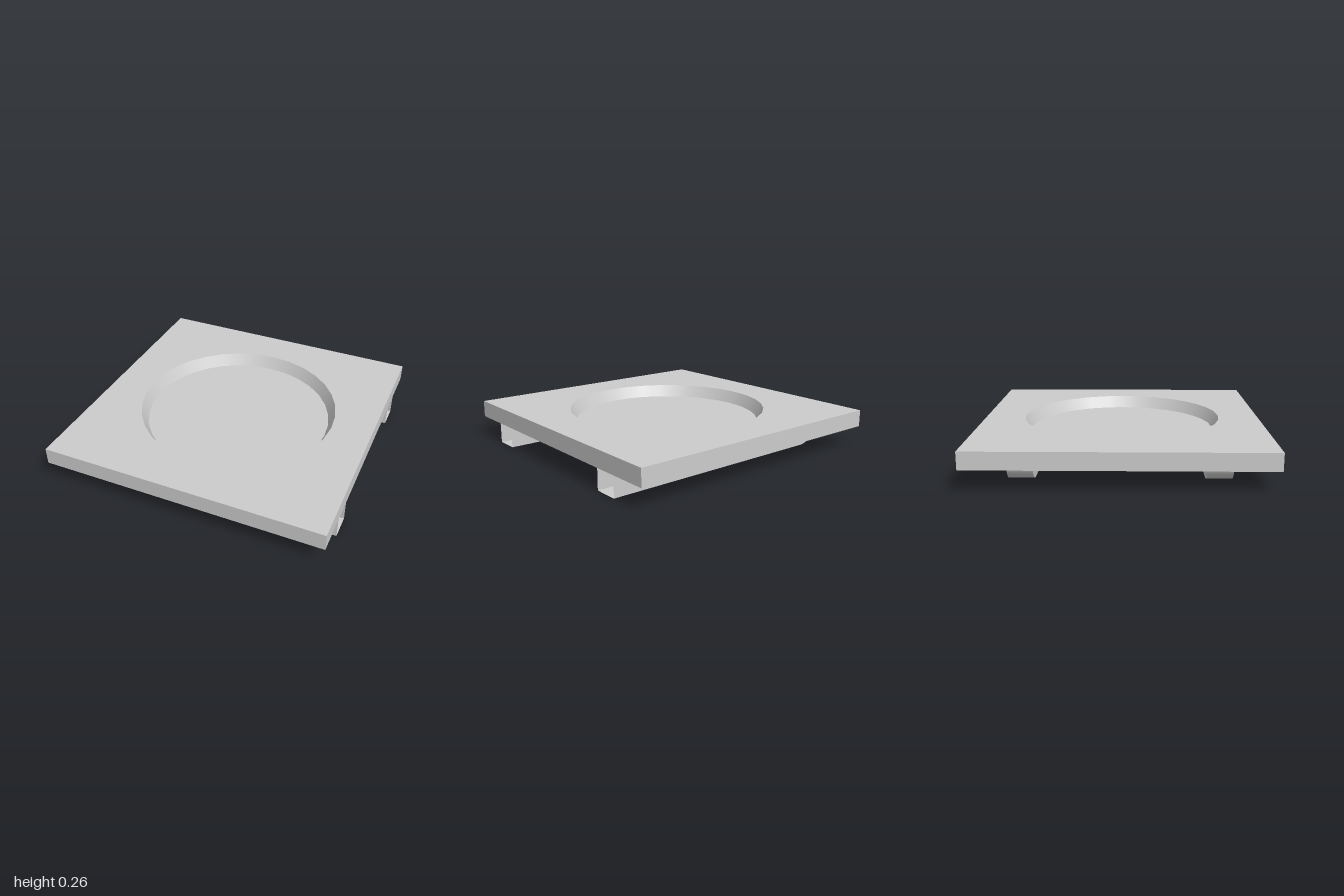
import * as THREE from 'three';

const TOP = 0.265, UNDER = 0.145, FLOOR = 0.178;
const RIM_R = 0.715, FLOOR_R = 0.67, SIDES = 32;
const solid = new THREE.MeshStandardMaterial({ color: 0xcccccc });
const faceted = new THREE.MeshStandardMaterial({ color: 0xcccccc, flatShading: true });
const sheet = new THREE.MeshStandardMaterial({ color: 0xcccccc, side: THREE.DoubleSide });

function add(parent, name, geometry, material, x = 0, y = 0, z = 0) {
  const mesh = new THREE.Mesh(geometry, material);
  mesh.name = name;
  mesh.position.set(x, y, z);
  parent.add(mesh);
  return mesh;
}

// Square plate with a shallow, tapered round recess
function createPlate() {
  const plate = new THREE.Group();
  plate.name = 'plate';

  const square = new THREE.Shape().moveTo(-1, -1).lineTo(1, -1).lineTo(1, 1).lineTo(-1, 1).closePath();
  square.holes.push(new THREE.Path().absarc(0, 0, RIM_R, 0, Math.PI * 2, true));
  add(plate, 'plateTop', new THREE.ShapeGeometry(square, SIDES / 2).rotateX(-Math.PI / 2), solid, 0, TOP);

  const edge = new THREE.CylinderGeometry(Math.SQRT2, Math.SQRT2, TOP - UNDER, 4, 1, true, Math.PI / 4);
  add(plate, 'plateEdge', edge, faceted, 0, (TOP + UNDER) / 2);
  add(plate, 'plateUnderside', new THREE.PlaneGeometry(2, 2).rotateX(Math.PI / 2), solid, 0, UNDER);

  const wall = new THREE.CylinderGeometry(RIM_R, FLOOR_R, TOP - FLOOR, SIDES, 1, true);
  add(plate, 'recessWall', wall, sheet, 0, (TOP + FLOOR) / 2);
  add(plate, 'recessFloor', new THREE.CircleGeometry(FLOOR_R, SIDES).rotateX(-Math.PI / 2), solid, 0, FLOOR);
  return plate;
}

// Hollow runner: rounded at -x, open at +x, closed above by the plate
function createRunner(name, z) {
  const runner = new THREE.Group();
  runner.name = name;
  runner.position.z = z;
  const width = 0.17, r = UNDER, bendX = -0.82 + r;

  const profile = new THREE.Shape()
    .moveTo(1, r)
    .lineTo(bendX - r, r)
    .absarc(bendX, r, r, Math.PI, Math.PI * 1.5, false)
    .lineTo(1, 0)
    .closePath();
  for (const side of [-1, 1]) {
    const geometry = new THREE.ShapeGeometry(profile, 8);
    if (side < 0) geometry.rotateY(Math.PI).scale(-1, 1, 1); // mirrored wall
    add(runner, side > 0 ? 'frontWall' : 'backWall', geometry, sheet, 0, 0, side * width / 2);
  }

  const length = 1 - bendX;
  const base = new THREE.PlaneGeometry(length, width).rotateX(Math.PI / 2);
  add(runner, 'runnerBase', base, sheet, bendX + length / 2, 0);

  const bend = new THREE.CylinderGeometry(r, r, width, 16, 1, true, -Math.PI / 2, Math.PI / 2).rotateX(Math.PI / 2);
  add(runner, 'roundedEnd', bend, sheet, bendX, r);
  return runner;
}

export function createModel() {
  const model = new THREE.Group();
  model.name = 'recessedTray';
  model.add(createPlate());
  model.add(createRunner('frontRunner', 0.645));
  model.add(createRunner('backRunner', -0.645));
  return model;
}
